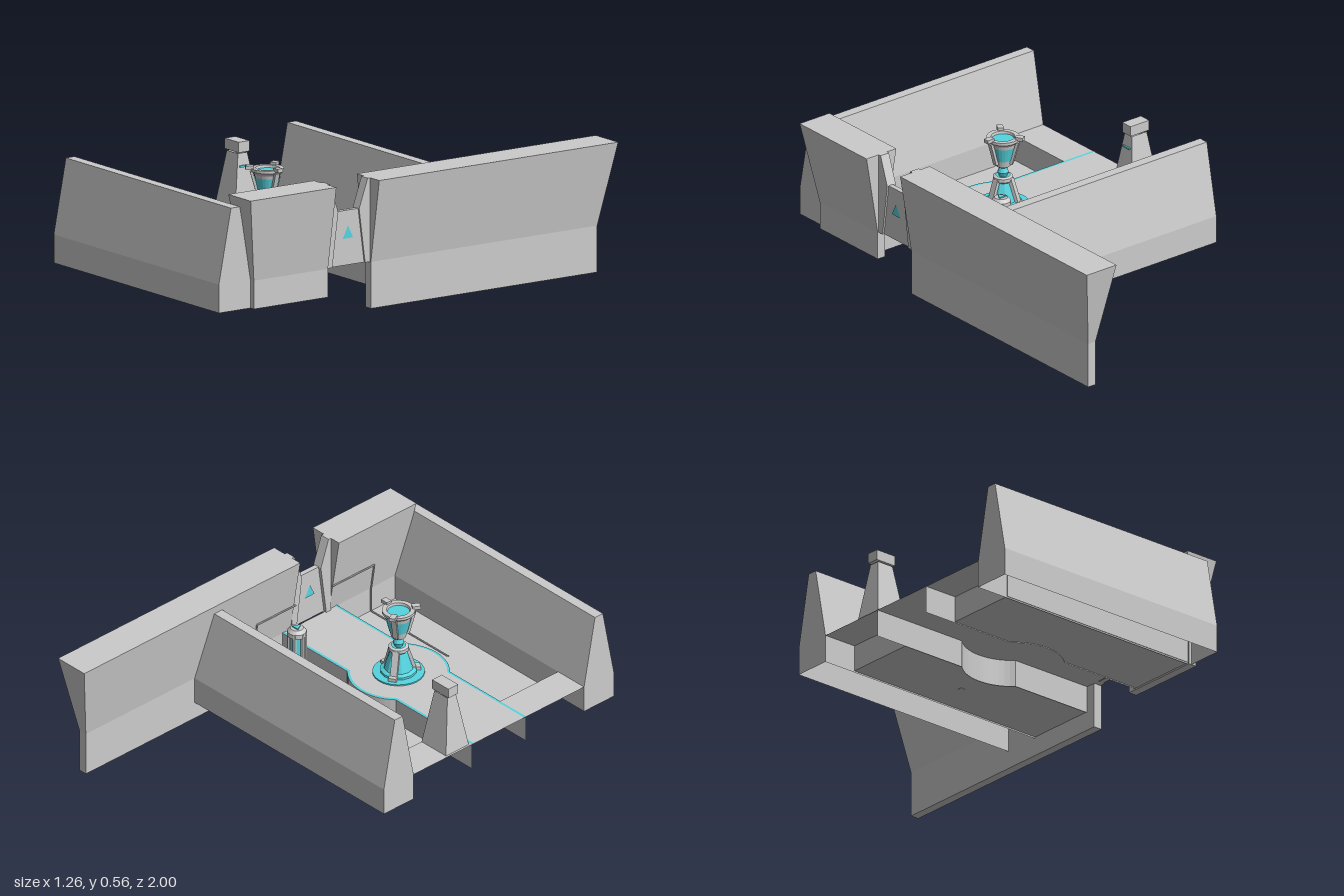
import * as THREE from 'three';

const GREY = new THREE.MeshStandardMaterial({ color: 0xcccccc, flatShading: true, side: THREE.DoubleSide });
const CYAN = new THREE.MeshStandardMaterial({ color: 0x55d5e0, flatShading: true, side: THREE.DoubleSide });
const FLOOR = 0.085, DECK = 0.2;
const CX = -0.015, CZ = 0.345; // centre of the round bulge in the walkway

function add(parent, name, geometry, material = GREY, x = 0, y = 0, z = 0) {
  const mesh = new THREE.Mesh(geometry, material);
  mesh.name = name;
  mesh.position.set(x, y, z);
  parent.add(mesh);
  return mesh;
}

// Quads between two rows of points
function strip(a, b) {
  const position = [...a, ...b].flat(), index = [], n = a.length;
  for (let i = 0; i < n - 1; i++) index.push(i, i + 1, n + i, i + 1, n + i + 1, n + i);
  const g = new THREE.BufferGeometry();
  g.setAttribute('position', new THREE.Float32BufferAttribute(position, 3));
  g.setIndex(index);
  g.computeVertexNormals();
  return g;
}

// Solid between two end sections listed up one side and down the other
function wall(parent, name, a, b, openBottom) {
  const group = new THREE.Group();
  group.name = name;
  parent.add(group);
  const close = (r) => (openBottom ? r : [...r, r[0]]);
  add(group, name + 'Sides', strip(close(a), close(b)));
  for (const r of [a, b]) {
    const h = r.length / 2;
    add(group, name + 'End', strip(r.slice(0, h), r.slice(h).reverse()));
  }
}

// Plan outline of one walkway edge, bulging around the centre
function edge(side, inset = 0, y = DECK) {
  const half = 0.155 - inset, r = 0.215 - inset, w = Math.sqrt(r * r - half * half);
  const a0 = Math.atan2(half, -w), a1 = Math.atan2(half, w);
  const pts = [[-0.63, y, CZ + side * half]];
  for (let i = 0; i <= 14; i++) {
    const a = a0 + (a1 - a0) * i / 14;
    pts.push([CX + r * Math.cos(a), y, CZ + side * r * Math.sin(a)]);
  }
  pts.push([0.53, y, CZ + side * half]);
  return pts;
}

function cable(parent, name, points, r = 0.004) {
  const path = new THREE.CurvePath();
  const v = points.map((p) => new THREE.Vector3(...p));
  for (let i = 1; i < v.length; i++) {
    add(parent, name, new THREE.TubeGeometry(new THREE.LineCurve3(v[i - 1], v[i]), 1, r, 6));
  }
  return path;
}

const lathe = (pts, n = 24) => new THREE.LatheGeometry(pts.map((p) => new THREE.Vector2(...p)), n);

function buildWalls(g) {
  // Front and back barriers, narrower at the top
  const section = [[0.085, FLOOR - 0.007], [0.085, DECK], [0.0225, 0.52], [-0.0225, 0.52], [-0.085, DECK], [-0.085, FLOOR - 0.007]];
  for (const [name, z, x1] of [['frontBarrier', 0.9175, 0.545], ['backBarrier', -0.2275, 0.545]]) {
    const ring = (x) => section.map(([dz, y]) => [x, y, z + dz]);
    wall(g, name, ring(-0.63), ring(x1), true);
  }
  // Side walls flare outward at the top and at their free ends
  const flare = (y0, z, lean) => [[0.57, y0], [0.57, DECK], [0.63, 0.56], [0.47, 0.56], [0.53, DECK], [0.53, y0]]
    .map(([x, y]) => [x, y, z + (y > 0.5 ? lean : 0)]);
  wall(g, 'longSideWall', flare(0, 0.235, 0), flare(0, -0.935, -0.065), false);
  wall(g, 'shortSideWall', flare(0.078, 0.457, 0), flare(0.078, 0.84, 0.06), false);
}

function buildFloor(g) {
  // Raised walkway with skirts and glowing edges
  add(g, 'walkway', strip(edge(-1), edge(1)));
  for (const side of [-1, 1]) {
    add(g, 'walkwaySkirt', strip(edge(side), edge(side, 0, FLOOR - 0.005)));
    add(g, 'walkwayGlow', strip(edge(side, 0, DECK + 0.002), edge(side, 0.011, DECK + 0.002)), CYAN);
    // Sunken floor and the step at the open end
    const outer = side < 0 ? -0.145 : 0.835, inner = CZ + side * 0.155;
    const e = edge(side, 0, FLOOR);
    e[0][0] = -0.47;
    add(g, 'sunkenFloor', strip(e, e.map(([x, y]) => [x, y, outer])));
    add(g, 'step', strip([[-0.63, DECK, inner], [-0.47, DECK, inner], [-0.47, FLOOR, inner]],
      [[-0.63, DECK, outer], [-0.47, DECK, outer], [-0.47, FLOOR, outer]]));
  }
}

function buildGate(g) {
  const gate = new THREE.Group();
  gate.name = 'gate';
  g.add(gate);
  // Panel with leaning fins on either side of the notch
  const s = new THREE.Shape([[-0.111, 0.2], [0.111, 0.2], [0.111, 0.435], [-0.111, 0.435]].map((p) => new THREE.Vector2(...p)));
  const panel = new THREE.ExtrudeGeometry(s, { depth: 0.022, bevelEnabled: false });
  add(gate, 'gatePanel', panel, GREY, 0.535, 0, 0.346).rotation.y = Math.PI / 2;
  for (const side of [-1, 1]) {
    const fin = new THREE.Shape([[0.111, 0.2], [0.085, 0.2], [0.054, 0.435], [0.098, 0.56], [0.111, 0.56]]
      .map(([z, y]) => new THREE.Vector2(-side * z, y)));
    add(gate, 'gateFin', new THREE.ExtrudeGeometry(fin, { depth: 0.045, bevelEnabled: false }), GREY, 0.52, 0, 0.346)
      .rotation.y = Math.PI / 2;
  }
  // Triangular lamps on both faces
  for (const x of [0.531, 0.561]) {
    add(gate, 'gateLamp', strip([[x, 0.315, 0.32], [x, 0.37, 0.347]], [[x, 0.315, 0.374], [x, 0.37, 0.347]]), CYAN);
  }
}

function buildPedestal(g) {
  const p = new THREE.Group();
  p.name = 'pedestal';
  p.position.set(CX, DECK, CZ);
  g.add(p);
  add(p, 'baseGlow', lathe([[0.11, 0], [0.11, 0.006], [0.07, 0.008]]), CYAN);
  add(p, 'baseCone', lathe([[0.078, 0.005], [0.078, 0.018], [0.062, 0.025], [0.034, 0.115], [0.036, 0.13], [0, 0.13]], 12), CYAN);
  add(p, 'neck', lathe([[0.016, 0.13], [0.024, 0.15], [0.016, 0.17], [0.03, 0.18]], 12), CYAN);
  add(p, 'cup', lathe([[0, 0.18], [0.032, 0.18], [0.036, 0.2], [0.055, 0.285], [0.07, 0.3], [0.07, 0.312], [0.05, 0.312], [0.046, 0.295]]));
  add(p, 'cupBand', lathe([[0.04, 0.21], [0.055, 0.272]]), CYAN);
  add(p, 'cupGlow', new THREE.CylinderGeometry(0.047, 0.047, 0.006, 24), CYAN, 0, 0.298);
  add(p, 'collar', lathe([[0.036, 0.108], [0.043, 0.115], [0.043, 0.13], [0.03, 0.135]], 12));
  // Three ribs, feet and rim prongs
  for (let i = 0; i < 3; i++) {
    const arm = new THREE.Group();
    arm.name = 'pedestalArm';
    arm.rotation.y = i * Math.PI * 2 / 3;
    p.add(arm);
    add(arm, 'foot', new THREE.BoxGeometry(0.03, 0.02, 0.035), GREY, 0.078, 0.012);
    add(arm, 'coneRib', new THREE.BoxGeometry(0.014, 0.11, 0.03), GREY, 0.052, 0.068).rotation.z = 0.3;
    add(arm, 'cupRib', new THREE.BoxGeometry(0.012, 0.11, 0.022), GREY, 0.053, 0.245).rotation.z = -0.27;
    add(arm, 'prong', new THREE.BoxGeometry(0.035, 0.016, 0.026), GREY, 0.075, 0.315);
  }
}

function buildTower(g) {
  const t = new THREE.Group();
  t.name = 'watchPost';
  t.position.set(-0.545, DECK, 0.117);
  g.add(t);
  // Tapered body with a small box head
  const ring = (w, d, y) => [[-w, y, -d], [w, y, -d], [w, y, d], [-w, y, d], [-w, y, -d]];
  add(t, 'postBody', strip(ring(0.075, 0.065, 0), ring(0.04, 0.024, 0.255)));
  add(t, 'postHead', new THREE.BoxGeometry(0.1, 0.045, 0.055), GREY, 0, 0.283);
  add(t, 'postLamp', new THREE.BoxGeometry(0.012, 0.008, 0.045), CYAN, 0.048, 0.2);
}

function buildPillar(g) {
  const p = new THREE.Group();
  p.name = 'pillar';
  p.position.set(0.26, FLOOR, 0.02);
  g.add(p);
  add(p, 'pillarBase', lathe([[0.076, 0], [0.076, 0.025], [0.05, 0.05], [0.036, 0.06]], 16));
  add(p, 'pillarCore', new THREE.CylinderGeometry(0.03, 0.03, 0.27, 16), CYAN, 0, 0.19);
  add(p, 'pillarCap', lathe([[0.03, 0.315], [0.041, 0.315], [0.041, 0.335], [0.028, 0.35], [0, 0.35]], 16));
  add(p, 'pillarLamp', new THREE.CylinderGeometry(0.022, 0.022, 0.006, 3), CYAN, 0, 0.352);
  for (let i = 0; i < 6; i++) {
    const a = i * Math.PI / 3;
    add(p, 'pillarRod', new THREE.CylinderGeometry(0.009, 0.009, 0.28, 6), GREY, 0.034 * Math.cos(a), 0.19, 0.034 * Math.sin(a));
  }
}

function buildCables(g) {
  // Cables run over the floor, up the side wall and along to the gate
  const y = FLOOR + 0.006;
  cable(g, 'frontCable', [[0.05, y, 0.69], [0.523, y, 0.69], [0.523, 0.2, 0.69], [0.503, 0.33, 0.69], [0.503, 0.33, 0.45]]);
  cable(g, 'backCable', [[-0.26, y, 0.005], [-0.01, y, 0.01], [0.26, y, 0.02], [0.523, y, 0.02], [0.523, 0.2, 0.02], [0.503, 0.33, 0.02], [0.503, 0.33, 0.24]]);
  cable(g, 'linkCable', [[-0.01, y, 0.01], [-0.01, y, 0.13]]);
  add(g, 'cableNode', new THREE.CylinderGeometry(0.015, 0.015, 0.015, 12), GREY, -0.01, y, 0.01);
}

export function createModel() {
  const g = new THREE.Group();
  g.name = 'walledCourt';
  for (const build of [buildWalls, buildFloor, buildGate, buildPedestal, buildTower, buildPillar, buildCables]) build(g);
  return g;
}
